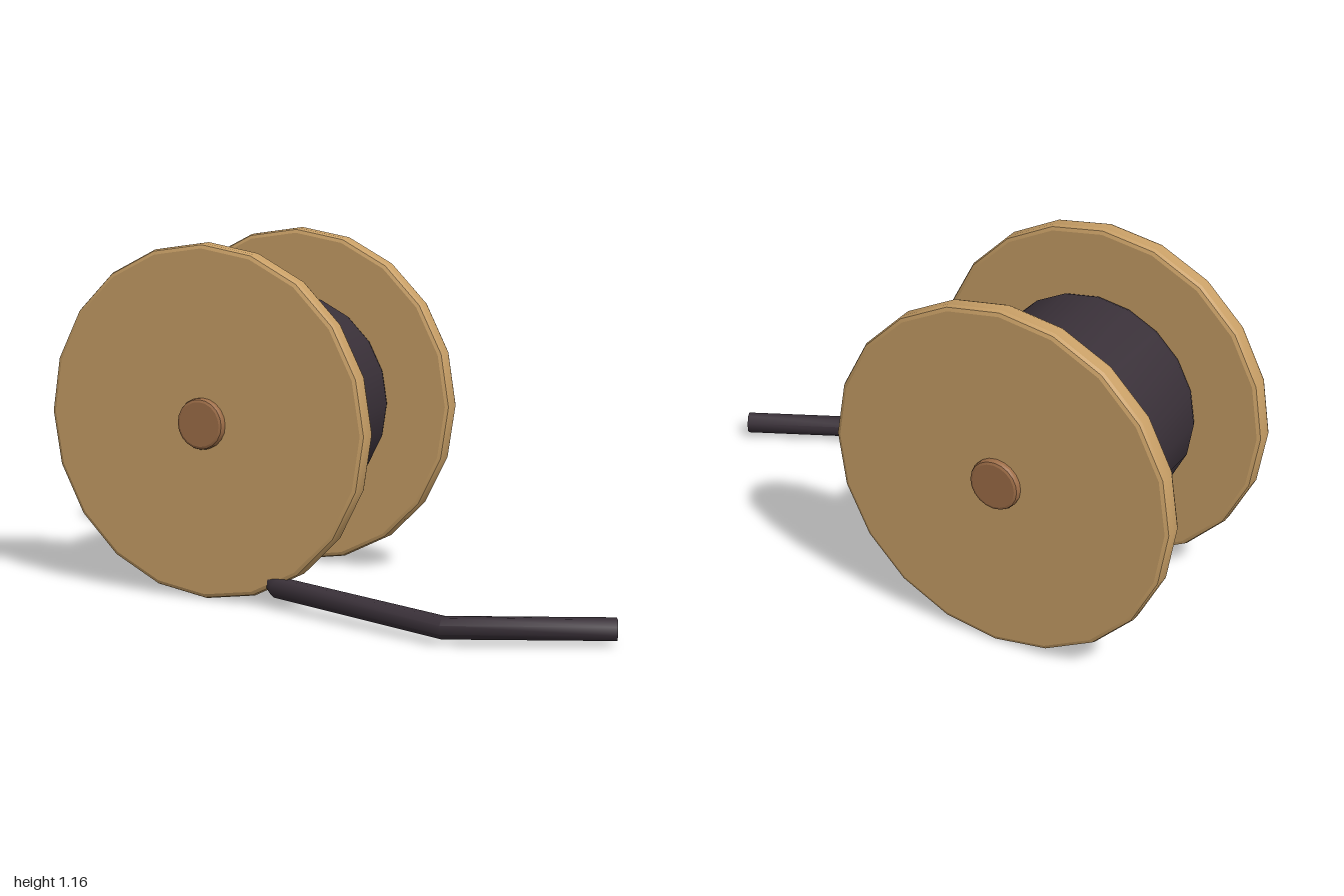
import * as THREE from 'three';
import { toCreasedNormals } from 'three/addons/utils/BufferGeometryUtils.js';

const CX = -0.418, CY = 0.585;

function material(name, color) {
  const m = new THREE.MeshStandardMaterial({ color });
  m.name = name;
  return m;
}

// Bevelled disc along z, centred on the spool axis
function disc(name, radius, z0, z1, bevel, mat) {
  const pts = [[0, z0]];
  for (let i = 0; i <= 2; i++) {
    const a = i * Math.PI / 4;
    pts.push([radius - bevel + bevel * Math.sin(a), z0 + bevel - bevel * Math.cos(a)]);
  }
  for (let i = 2; i >= 0; i--) {
    const a = i * Math.PI / 4;
    pts.push([radius - bevel + bevel * Math.sin(a), z1 - bevel + bevel * Math.cos(a)]);
  }
  pts.push([0, z1]);
  const geo = new THREE.LatheGeometry(pts.map(p => new THREE.Vector2(...p)), 20);
  geo.rotateX(Math.PI / 2);
  const mesh = new THREE.Mesh(toCreasedNormals(geo, 0.35), mat);
  mesh.name = name;
  mesh.position.set(CX, CY, 0);
  return mesh;
}

// Straight-sided cable with mitred bends and flat ends
function cableGeometry(path, radius, sides) {
  const pos = [], index = [], up = new THREE.Vector3(0, 1, 0);
  const dirs = path.slice(1).map((p, i) => p.clone().sub(path[i]).normalize());
  path.forEach((p, i) => {
    const before = dirs[Math.max(i - 1, 0)], after = dirs[Math.min(i, dirs.length - 1)];
    const t = before.clone().add(after).normalize();
    const n = new THREE.Vector3().crossVectors(up, t).normalize();
    const b = new THREE.Vector3().crossVectors(t, n);
    const stretch = 1 / t.dot(before);
    for (let j = 0; j < sides; j++) {
      const a = (j + 0.5) / sides * Math.PI * 2;
      const v = p.clone().addScaledVector(n, Math.cos(a) * radius * stretch)
        .addScaledVector(b, Math.sin(a) * radius);
      pos.push(v.x, v.y, v.z);
    }
  });
  for (let i = 0; i < path.length - 1; i++) {
    for (let j = 0; j < sides; j++) {
      const a = i * sides + j, b = i * sides + (j + 1) % sides;
      index.push(a, b, b + sides, a, b + sides, a + sides);
    }
  }
  const last = (path.length - 1) * sides;
  for (let j = 1; j < sides - 1; j++) {
    index.push(0, j + 1, j, last, last + j, last + j + 1);
  }
  const geo = new THREE.BufferGeometry();
  geo.setAttribute('position', new THREE.Float32BufferAttribute(pos, 3));
  geo.setIndex(index);
  return toCreasedNormals(geo, 0.85);
}

export function createModel() {
  const group = new THREE.Group();
  group.name = 'cableSpool';
  const wood = material('lightWood', 0xc89f66);
  const hub = material('hubWood', 0x9e6e48);
  const rubber = material('darkCable', 0x393038);

  // End plates, wound cable and axle caps
  group.add(
    disc('frontFlange', 0.582, 0.198, 0.266, 0.016, wood),
    disc('backFlange', 0.582, -0.445, -0.377, 0.016, wood),
    disc('woundCable', 0.36, -0.377, 0.198, 0.024, rubber),
    disc('frontHub', 0.084, 0.24, 0.29, 0.011, hub),
    disc('backHub', 0.084, -0.467, -0.42, 0.011, hub)
  );

  // Loose end trailing over the ground
  const path = [
    [-0.45, 0.25, 0.02], [-0.15, 0.067, 0.25], [0.512, 0.055, 0.431], [0.985, 0.052, 0.202]
  ].map(p => new THREE.Vector3(...p));
  const cable = new THREE.Mesh(cableGeometry(path, 0.036, 8), rubber);
  cable.name = 'looseCable';
  group.add(cable);

  return group;
}
